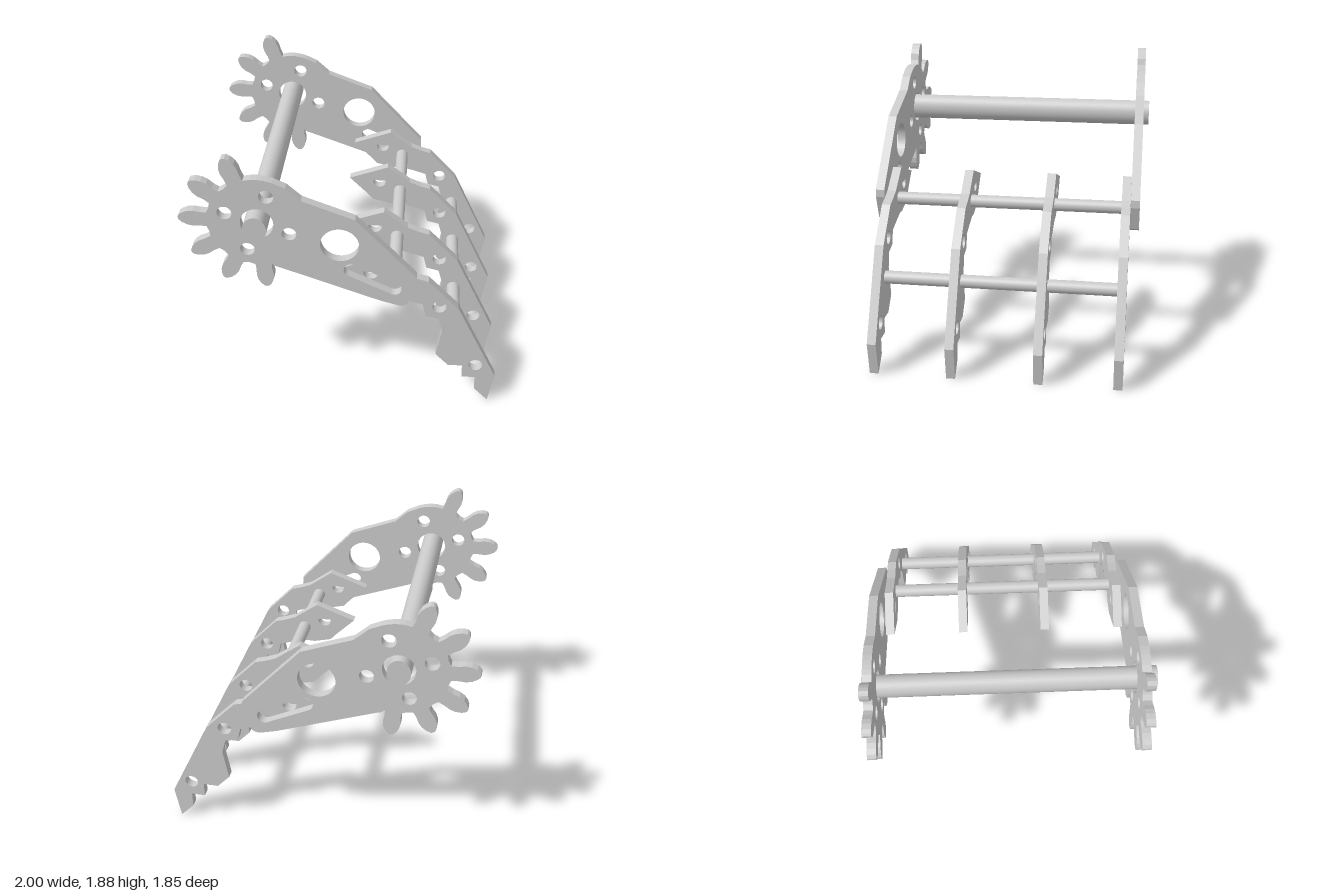
import * as THREE from 'three';

const material = new THREE.MeshStandardMaterial({ color: 0xcccccc });
const THICK = 0.058;
const GEAR = [-0.522, 1.432];

const toShape = (pts) => new THREE.Shape(pts.map(([x, y]) => new THREE.Vector2(x, y)));

function addHole(shape, x, y, rx, ry = rx) {
  const hole = new THREE.Path();
  hole.absellipse(x, y, rx, ry, 0, Math.PI * 2, true);
  shape.holes.push(hole);
}

// Point at a given radius and angle (degrees) around the gear centre
function polar(r, deg) {
  const a = THREE.MathUtils.degToRad(deg);
  return [GEAR[0] + r * Math.cos(a), GEAR[1] + r * Math.sin(a)];
}

// Side arm: partial gear blending into a tapering plate
function sideArmShape() {
  const pts = [];
  for (let a = 70; a < 100; a += 6) pts.push(polar(0.311, a));
  // Half outline of one tooth: radius, angle off its centre line
  const flank = [[0.308, 9.5], [0.345, 8.2], [0.39, 8], [0.425, 6.6], [0.455, 4.2], [0.474, 1.8]];
  for (let i = 0; i < 6; i++) {
    const mid = 111.8 + i * 32.6;
    for (const [r, d] of flank) pts.push(polar(r, mid - d));
    pts.push(polar(0.478, mid));
    for (const [r, d] of [...flank].reverse()) pts.push(polar(r, mid + d));
    if (i < 5) pts.push(polar(0.3, mid + 16.3));
  }
  pts.push([-0.42, 1.115], [-0.405, 1.112], [0.235, 0.878], [0.345, 0.848], [0.375, 0.85],
    [0.4, 0.866], [0.452, 1.025], [0.45, 1.075], [0.07, 1.487], [-0.25, 1.608], [-0.34, 1.69]);
  const shape = toShape(pts);

  // Shaft hole, bolt holes and large lightening hole
  addHole(shape, ...GEAR, 0.101, 0.104);
  for (const [x, y] of [[-0.457, 1.625], [-0.714, 1.5], [-0.59, 1.24], [-0.33, 1.365]]) {
    addHole(shape, x, y, 0.045);
  }
  addHole(shape, -0.025, 1.297, 0.118);

  // Slanted round-ended slot
  const a = [0.045, 1.11], b = [0.313, 0.98];
  const dir = Math.atan2(b[1] - a[1], b[0] - a[0]);
  const slot = new THREE.Path();
  slot.absarc(...a, 0.046, dir + Math.PI / 2, dir + Math.PI * 1.5, false);
  slot.absarc(...b, 0.046, dir - Math.PI / 2, dir + Math.PI / 2, false);
  slot.closePath();
  shape.holes.push(slot);
  return shape;
}

// Curved claw with a smooth back and a stepped inner edge
function clawShape() {
  const shape = toShape([
    [-0.05, 1.07], [0.075, 0.945], [0.12, 0.895], [0.24, 0.865], [0.3, 0.868], [0.4, 0.842],
    [0.495, 0.812], [0.517, 0.722], [0.602, 0.7], [0.63, 0.6], [0.597, 0.395],
    [0.682, 0.303], [0.782, 0.303], [0.782, 0.203], [0.874, 0.203], [0.874, 0.096],
    [0.965, 0], [1, 0.22], [0.725, 0.79], [0.525, 1], [0.455, 1.02], [0.38, 1.05], [0.22, 1.168],
  ]);
  for (const [x, y] of [[0.163, 1.05], [0.602, 0.8], [0.866, 0.314]]) addHole(shape, x, y, 0.045);
  return shape;
}

function addPlates(group, name, shape, zStarts) {
  const geometry = new THREE.ExtrudeGeometry(shape, { depth: THICK, bevelEnabled: false, curveSegments: 32 });
  zStarts.forEach((z, i) => {
    const mesh = new THREE.Mesh(geometry, material);
    mesh.name = name + (i + 1);
    mesh.position.z = z;
    group.add(mesh);
  });
}

// Bar running along z, optionally oval
function addBar(group, name, x, y, rx, ry, z0, z1) {
  const geometry = new THREE.CylinderGeometry(1, 1, z1 - z0, 40);
  geometry.rotateX(Math.PI / 2).scale(rx, ry, 1);
  const mesh = new THREE.Mesh(geometry, material);
  mesh.name = name;
  mesh.position.set(x, y, (z0 + z1) / 2);
  group.add(mesh);
}

export function createModel() {
  const group = new THREE.Group();
  group.name = 'gearedClawGrabber';
  addPlates(group, 'sideArm', sideArmShape(), [-0.889, 0.79]);
  addPlates(group, 'claw', clawShape(), [-0.83, -0.33, 0.229, 0.73]);
  addBar(group, 'mainShaft', -0.525, 1.435, 0.072, 0.087, -0.927, 0.922);
  addBar(group, 'upperCrossRod', 0.31, 0.98, 0.043, 0.042, -0.79, 0.75);
  addBar(group, 'lowerCrossRod', 0.708, 0.565, 0.044, 0.042, -0.79, 0.75);
  return group;
}
